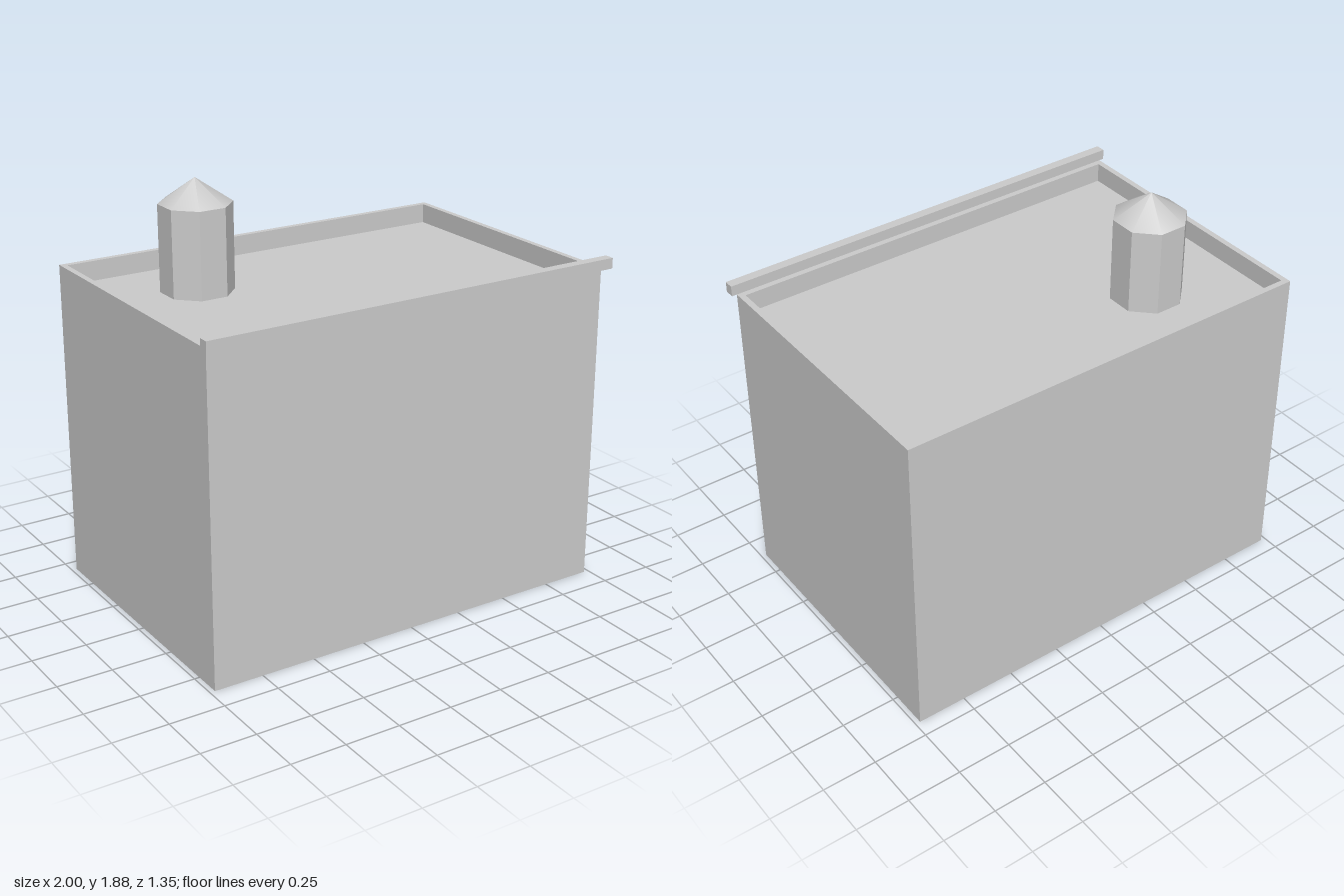
import * as THREE from 'three';

const BACK = -0.675, FRONT = 0.63, HALF_W = 0.977;
const WALL_TOP = 1.47, ROOF = 1.38, WALL = 0.027;

// Rectangular ring of four corners, counter-clockwise seen from above
function ring(inset, y) {
  const x = HALF_W - inset, z0 = BACK + inset, z1 = FRONT - inset;
  return [[-x, y, z1], [x, y, z1], [x, y, z0], [-x, y, z0]];
}

// Building shell: outer walls, parapet top, inner parapet faces, sunken roof
function shellGeometry() {
  const rings = [ring(0, 0), ring(0, WALL_TOP), ring(WALL, WALL_TOP), ring(WALL, ROOF)];
  const pos = [];
  const quad = (a, b, c, d) => pos.push(...a, ...b, ...c, ...a, ...c, ...d);
  for (let r = 0; r < rings.length - 1; r++) {
    for (let i = 0; i < 4; i++) {
      const j = (i + 1) % 4;
      quad(rings[r][i], rings[r][j], rings[r + 1][j], rings[r + 1][i]);
    }
  }
  quad(...rings[3]);
  quad(...[...rings[0]].reverse());
  const geo = new THREE.BufferGeometry();
  geo.setAttribute('position', new THREE.Float32BufferAttribute(pos, 3));
  geo.computeVertexNormals();
  return geo;
}

export function createModel() {
  const group = new THREE.Group();
  const grey = new THREE.MeshStandardMaterial({ color: 0xcccccc });
  grey.name = 'grey';

  const add = (name, geo, x = 0, y = 0, z = 0, parent = group) => {
    const mesh = new THREE.Mesh(geo, grey);
    mesh.name = name;
    mesh.position.set(x, y, z);
    parent.add(mesh);
    return mesh;
  };

  add('building', shellGeometry());

  // Cornice bar along the front top edge
  add('cornice', new THREE.BoxGeometry(2, 0.048, 0.045), 0, 1.494, 0.6525);

  // Octagonal roof tower with a pointed cap
  const tower = new THREE.Group();
  tower.name = 'roofTower';
  tower.position.set(-0.512, 0, -0.28);
  tower.rotation.y = Math.PI / 8;
  group.add(tower);
  const radius = 0.15 / Math.cos(Math.PI / 8), eave = 1.77, peak = 1.88;
  const drum = new THREE.CylinderGeometry(radius, radius, eave - ROOF, 8).toNonIndexed();
  drum.computeVertexNormals();
  add('towerDrum', drum, 0, (eave + ROOF) / 2, 0, tower);
  add('towerCap', new THREE.ConeGeometry(radius, peak - eave, 8, 1, true), 0, (peak + eave) / 2, 0, tower);

  return group;
}
